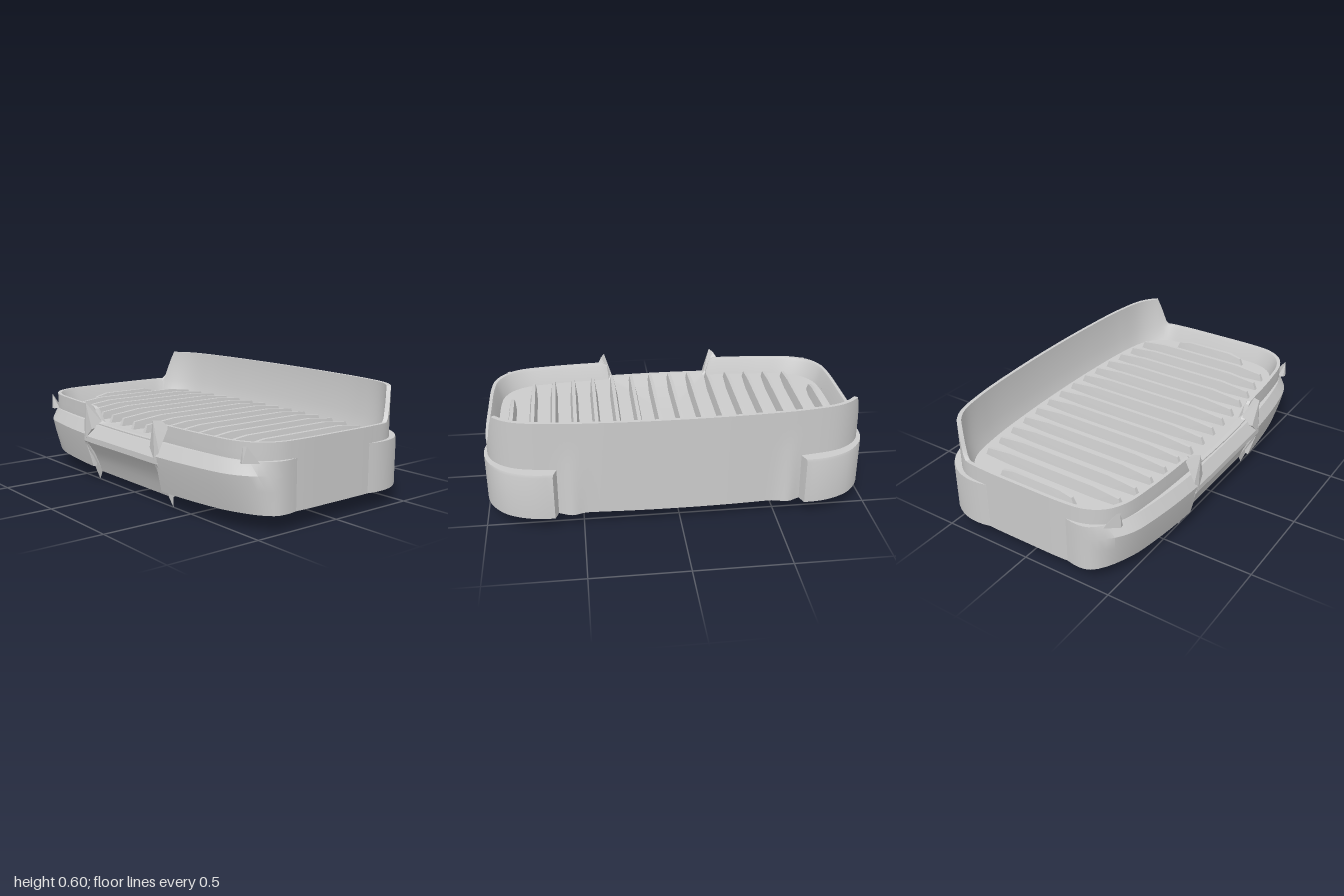
import * as THREE from 'three';
import { toCreasedNormals } from 'three/addons/utils/BufferGeometryUtils.js';
import { ConvexGeometry } from 'three/addons/geometries/ConvexGeometry.js';

const V = (x, y, z) => new THREE.Vector3(x, y, z);
const { smoothstep: step, lerp } = THREE.MathUtils;
const FLOOR = 0.33, BASE = 0.085;

// Skin a series of closed rings that all have the same number of points
function loft(rings, crease = 0.5) {
  const n = rings[0].length, pos = [], idx = [];
  rings.forEach(r => r.forEach(p => pos.push(p.x, p.y, p.z)));
  for (let r = 0; r < rings.length - 1; r++) {
    for (let i = 0; i < n; i++) {
      const a = r * n + i, b = r * n + (i + 1) % n;
      idx.push(a, b, b + n, a, b + n, a + n);
    }
  }
  const g = new THREE.BufferGeometry();
  g.setAttribute('position', new THREE.Float32BufferAttribute(pos, 3));
  g.setIndex(idx);
  return toCreasedNormals(g, crease);
}

// Ring collapsed to its middle, used as an end cap
function collapse(ring) {
  const c = V(0, 0, 0);
  ring.forEach(p => c.add(p));
  c.divideScalar(ring.length);
  return ring.map(() => c.clone());
}

// Bowed rounded rectangle, counter-clockwise from above
function outline() {
  const half = [[0.35, 0.54], [0.65, 0.52], [0.83, 0.49], [0.92, 0.435], [0.97, 0.35], [0.985, 0.25],
    [0.988, 0], [0.985, -0.25], [0.972, -0.37], [0.93, -0.445], [0.84, -0.51], [0.65, -0.55],
    [0.33, -0.573]];
  const pts = [[0, 0.55], ...half, [0, -0.58], ...half.map(([x, z]) => [-x, z]).reverse()];
  const curve = new THREE.CatmullRomCurve3(pts.map(([x, z]) => V(x, 0, z)), true);
  return curve.getSpacedPoints(280).slice(0, -1);
}

// Rim height: tall at the back, cut low at the front middle
function rimHeight({ x, z }) {
  if (z < -0.385) return 0.425 + 0.175 * Math.min(1, (-0.385 - z) / 0.055);
  if (z > 0.3) return FLOOR + 0.005 + 0.09 * step(Math.abs(x), 0.29, 0.33);
  return 0.425;
}

// Underside: sags towards the front middle, with two shallow swellings
function underside(x, z) {
  const sag = 0.033 * step(z, -0.25, 0.5) * (1 - step(Math.abs(x), 0.15, 0.4));
  const swell = (cx, cz, h) => h * Math.exp(-(((x - cx) / 0.1) ** 2) - ((z - cz) / 0.18) ** 2);
  return BASE - sag - swell(0.6, -0.08, 0.026) - swell(-0.8, 0, 0.01);
}

// Outer wall at fraction t of its height: leans in at the front, bulges at the back
function wallPoint(p, t) {
  const ax = Math.abs(p.x), low = Math.max(0, 1 - t / 0.7);
  let z = p.z;
  z -= low * step(z, 0.3, 0.5) * (0.05 - 0.025 * step(ax, 0.25, 0.45));
  if (z < -0.4) z -= 0.025 * low * Math.exp(-(((ax - 0.56) / 0.05) ** 2));
  return V(p.x, lerp(underside(p.x, z), rimHeight(p), t), z);
}

function trayGeometry() {
  const path = outline();
  const inset = (d, y) => path.map(p => V(p.x * (1 - d / 0.985), y(p), p.z * (1 - d / 0.57)));
  const rings = [];
  for (let k = 0; k <= 28; k++) {
    rings.push(path.map(p => {
      const q = wallPoint(p, 0).multiplyScalar(k / 28);
      q.y = underside(q.x, q.z);
      return q;
    }));
  }
  for (let k = 1; k <= 7; k++) rings.push(path.map(p => wallPoint(p, k / 7)));
  rings.push(inset(0.018, rimHeight));
  rings.push(inset(0.025, p => Math.min(rimHeight(p), 0.41)));
  rings.push(inset(0.05, () => FLOOR));
  rings.push(path.map(() => V(0, FLOOR, 0)));
  return loft(rings);
}

// Corner guard swept along a plan path; profile holds [height, setback] from top to bottom.
// The setback fades out where the guard runs into the side wall.
function guardGeometry(plan, profile, side) {
  const curve = new THREE.CatmullRomCurve3(plan.map(([x, z]) => V(x, 0, z)));
  let pts = curve.getPoints(18);
  if (side < 0) pts = pts.map(p => V(-p.x, 0, p.z)).reverse();
  const rings = pts.map(p => {
    const fade = step(Math.abs(p.z), 0.36, 0.55);
    const inner = y => V(p.x * 0.96, y, p.z * 0.89);
    return [
      inner(profile.at(-1)[0]),
      inner(profile[0][0]),
      ...profile.map(([y, d]) => V(p.x * (1 - d * fade), y, p.z * (1 - d * fade * 1.6))),
    ];
  });
  return loft([collapse(rings[0]), ...rings, collapse(rings.at(-1))]);
}

export function createModel() {
  const group = new THREE.Group();
  const material = new THREE.MeshStandardMaterial({ color: 0xcccccc, side: THREE.DoubleSide });
  const add = (name, geometry) => {
    const mesh = new THREE.Mesh(geometry, material);
    mesh.name = name;
    group.add(mesh);
    return mesh;
  };
  const addHull = (name, points) => {
    const g = new ConvexGeometry(points.map(p => V(...p)));
    return add(name, toCreasedNormals(g, 0.3));
  };

  add('tray', trayGeometry());

  // Low drainage ribs across the floor, tapering to both ends
  for (let i = 0; i < 16; i++) {
    const x = (i - 7.5) * 0.1155, ax = Math.abs(x);
    const len = ax > 0.8 ? 0.235 : 0.485 - 0.1 * ax * ax;
    const pts = [];
    for (const e of [-1, 1]) {
      for (const s of [-1, 1]) {
        pts.push([x + s * 0.013, FLOOR - 0.01, e * len]);
        pts.push([x + s * 0.024, FLOOR - 0.01, e * len * 0.6]);
        pts.push([x + s * 0.008, 0.37, e * (len - 0.02)]);
        pts.push([x + s * 0.01, 0.388, e * len * 0.6]);
      }
    }
    addHull('rib', pts).position.z = -0.008;
  }

  // Front panel: hollowed below, bevelled above, under the cut in the rim
  const section = [[0.46, 0.06], [0.503, 0.05], [0.524, 0.11], [0.552, 0.17], [0.598, 0.235],
    [0.598, 0.265], [0.56, 0.328], [0.46, 0.328]];
  const shape = new THREE.Shape(section.map(([z, y]) => new THREE.Vector2(-z, y)));
  const panel = new THREE.ExtrudeGeometry(shape, { depth: 0.7, bevelEnabled: false });
  panel.translate(0, 0, -0.35).rotateY(Math.PI / 2);
  add('frontPanel', toCreasedNormals(panel, 0.4));

  const frontPlan = [[0.345, 0.6], [0.5, 0.588], [0.68, 0.565], [0.82, 0.535], [0.92, 0.475],
    [0.98, 0.39], [0.994, 0.32], [0.978, 0.22]];
  const backPlan = [[0.978, -0.2], [0.996, -0.29], [0.993, -0.37], [0.965, -0.45], [0.9, -0.53],
    [0.82, -0.575], [0.73, -0.6], [0.645, -0.604]];
  for (const s of [-1, 1]) {
    add('frontCornerGuard', guardGeometry(frontPlan,
      [[0.34, 0.035], [0.275, 0], [0.2, 0.015], [BASE, 0.047]], s));
    add('backCornerGuard', guardGeometry(backPlan, [[0.34, 0.004], [0.325, 0], [BASE, 0]], s));

    // Pointed fins at both ends of the front opening
    addHull('upperFin', [
      [s * 0.275, 0.32, 0.51], [s * 0.28, 0.31, 0.59], [s * 0.365, 0.42, 0.535], [s * 0.36, 0.3, 0.59],
      [s * 0.325, 0.455, 0.6], [s * 0.345, 0.45, 0.56], [s * 0.33, 0.42, 0.55], [s * 0.335, 0.25, 0.6],
    ]);
    addHull('lowerFin', [
      [s * 0.353, 0, 0.5], [s * 0.325, 0.05, 0.5], [s * 0.353, 0.24, 0.598], [s * 0.325, 0.24, 0.598],
      [s * 0.353, 0.24, 0.5], [s * 0.325, 0.24, 0.5],
    ]);

    // Small slanted nub on each front corner guard
    addHull('cornerNub', [
      [s * 0.87, 0.33, 0.5], [s * 0.94, 0.33, 0.44], [s * 0.86, 0.33, 0.47], [s * 0.92, 0.33, 0.43],
      [s * 0.905, 0.412, 0.49], [s * 0.89, 0.412, 0.5], [s * 0.89, 0.33, 0.505],
    ]);
  }
  return group;
}
